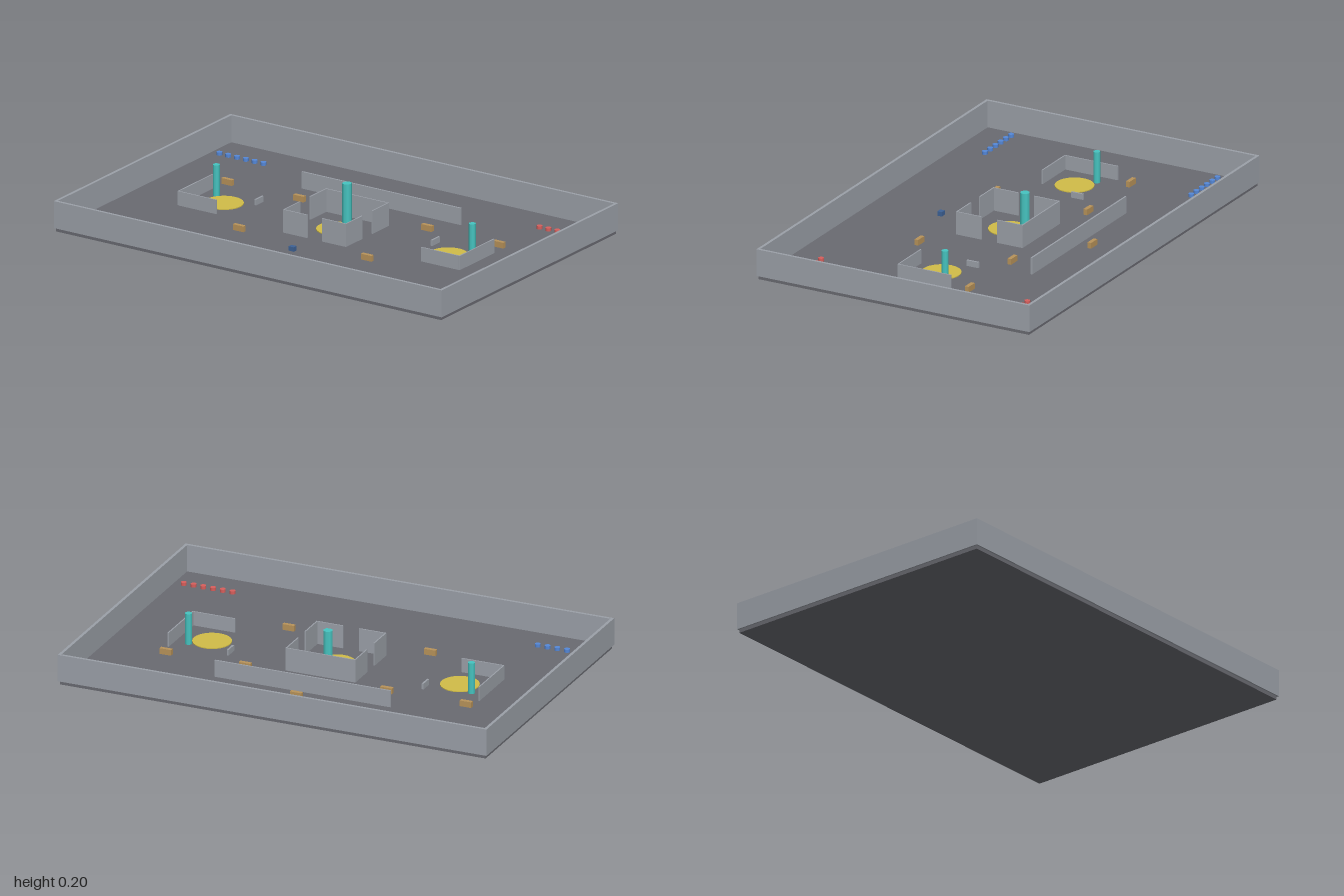
import * as THREE from 'three';

const mat = (name, color) => {
  const m = new THREE.MeshStandardMaterial({ color });
  m.name = name;
  return m;
};

export function createModel() {
  const model = new THREE.Group();
  model.name = 'arena';
  const FLOOR = 0.016;

  const floorGrey = mat('floorGrey', 0x696a71);
  const wallGrey = mat('wallGrey', 0x9ba0a8);
  const yellow = mat('zoneYellow', 0xd0bc48);
  const teal = mat('towerTeal', 0x46c4c0);
  const blue = mat('teamBlue', 0x5588d8);
  const red = mat('teamRed', 0xd85f5c);
  const tan = mat('crateTan', 0xb8935a);
  const navy = mat('markerNavy', 0x3d6296);

  const add = (name, geo, material, x, y, z) => {
    const m = new THREE.Mesh(geo, material);
    m.name = name;
    m.position.set(x, y, z);
    model.add(m);
    return m;
  };
  // box given by its x and z extents, standing on the floor
  const block = (name, x0, x1, z0, z1, top, material = wallGrey) =>
    add(name, new THREE.BoxGeometry(Math.abs(x1 - x0), top - FLOOR, Math.abs(z1 - z0)),
      material, (x0 + x1) / 2, (top + FLOOR) / 2, (z0 + z1) / 2);
  const drum = (name, r, top, sides, material, x, z) =>
    add(name, new THREE.CylinderGeometry(r, r, top - FLOOR, sides),
      material, x, (top + FLOOR) / 2, z);

  // floor slab
  add('floor', new THREE.BoxGeometry(1.986, FLOOR, 1.32), floorGrey, 0, FLOOR / 2, 0);

  // perimeter walls
  const W = 0.013, H = 0.138, D = 0.667;
  for (const s of [-1, 1]) {
    block('sideWall', s * (1 - W), s, -D, D, H);
    block('endWall', -1 + W, 1 - W, s * (D - W), s * D, H);
  }

  // central room: solid back, doorways on the other three sides
  const R = 0.163, T = 0.006, DOOR = 0.038, ROOM_H = 0.12;
  block('roomBack', -R, R, -R, -R + T, ROOM_H);
  for (const s of [-1, 1]) {
    block('roomFront', s * DOOR, s * R, R - T, R, ROOM_H);
    for (const t of [-1, 1]) {
      block('roomSide', s * (R - T), s * R, t * DOOR, t * (R - T), ROOM_H);
    }
  }

  // long rear barrier
  block('rearBarrier', -0.41, 0.41, -0.349, -0.341, 0.092);

  for (const s of [-1, 1]) {
    // L-shaped shelters around the outer zones
    block('shelterSide', s * 0.722, s * 0.728, -0.13, 0.13, 0.08);
    block('shelterFront', s * 0.528, s * 0.722, 0.126, 0.132, 0.08);
    // low cover beside the room
    block('lowCover', s * 0.45, s * 0.459, -0.113, -0.055, 0.042);
    drum('sideTower', 0.0155, 0.157, 8, teal, s * 0.66, -0.063);
  }
  drum('centerTower', 0.021, 0.2, 8, teal, 0, -0.083);

  // capture zones
  for (const x of [-0.578, 0, 0.578]) {
    drum('zone', 0.085, FLOOR + 0.004, 32, yellow, x, 0);
  }

  // crates
  const crates = [[0, -0.412], [-0.7, -0.207], [-0.33, -0.207], [0.33, -0.207],
    [0.7, -0.207], [-0.33, 0.247], [0.33, 0.247]];
  for (const [x, z] of crates) {
    block('crate', x - 0.027, x + 0.027, z - 0.009, z + 0.009, 0.042, tan);
  }

  // small front marker
  block('frontMarker', -0.013, 0.013, 0.316, 0.338, 0.036, navy);

  // team pieces in rows of six at each corner
  for (const z of [-0.495, 0.513]) {
    for (let i = 0; i < 6; i++) {
      const x = 0.712 + i * 0.0455;
      drum('bluePiece', 0.013, 0.03, 8, blue, -x, z);
      drum('redPiece', 0.013, 0.03, 8, red, x, z);
    }
  }
  return model;
}
